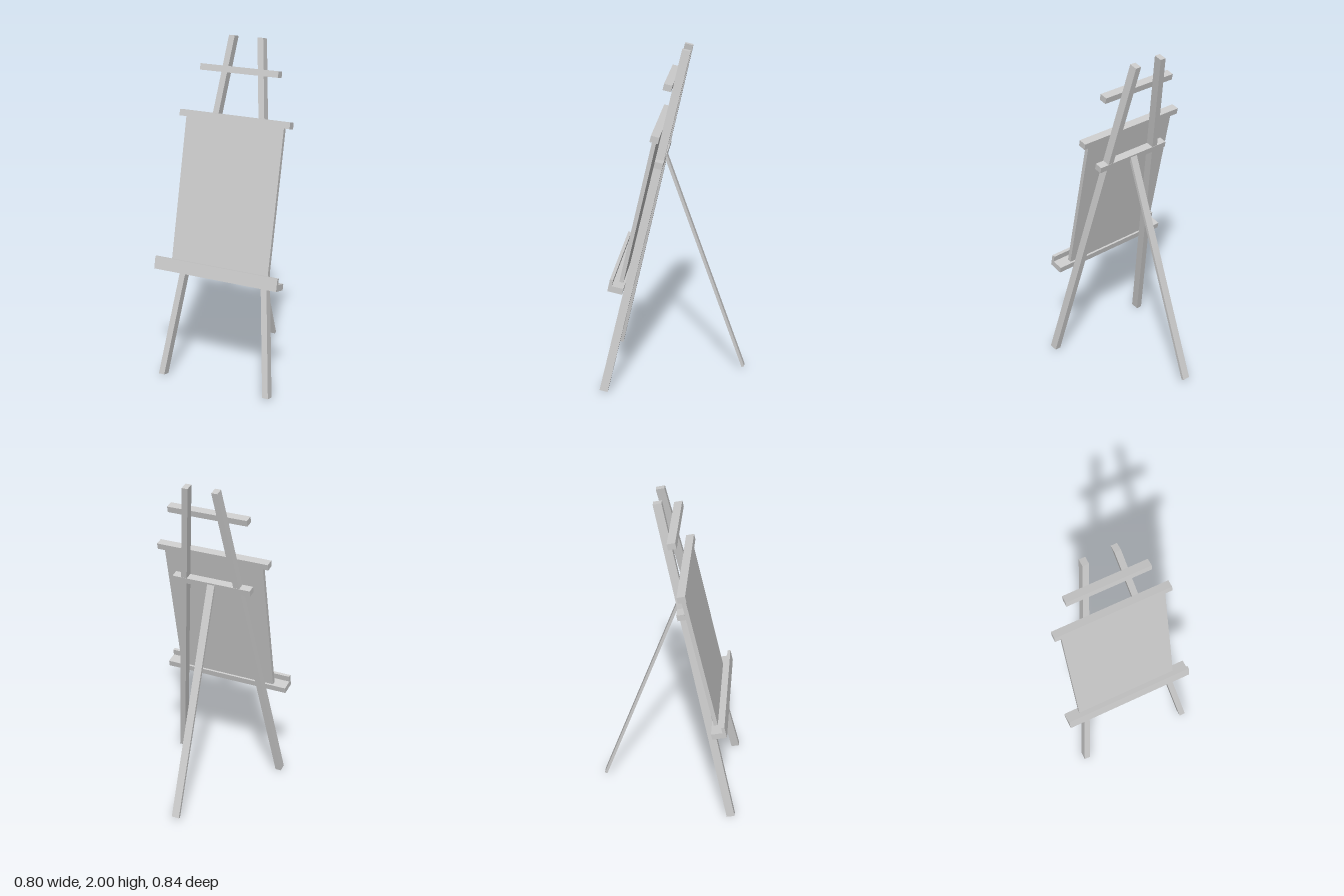
import * as THREE from 'three';

const material = new THREE.MeshStandardMaterial({ color: 0xcccccc, flatShading: true });

function addMesh(parent, name, geometry, x = 0, y = 0, z = 0) {
  const mesh = new THREE.Mesh(geometry, material);
  mesh.name = name;
  mesh.position.set(x, y, z);
  parent.add(mesh);
  return mesh;
}

function addBox(parent, name, w, h, d, x, y, z) {
  return addMesh(parent, name, new THREE.BoxGeometry(w, h, d), x, y, z);
}

// Box whose ends stay level while it leans sideways from bottomX to topX
function leaningBar(width, length, depth, bottomX, topX) {
  const geometry = new THREE.BoxGeometry(width, length, depth);
  geometry.translate(0, length / 2, 0);
  const p = geometry.attributes.position;
  for (let i = 0; i < p.count; i++) {
    p.setX(i, p.getX(i) + THREE.MathUtils.lerp(bottomX, topX, p.getY(i) / length));
  }
  geometry.computeVertexNormals();
  return geometry;
}

export function createModel() {
  const model = new THREE.Group();
  model.name = 'easel';

  // Tilted frame: local y runs up the front legs, local z faces out of the board
  const frame = new THREE.Group();
  frame.name = 'tiltedFrame';
  frame.position.set(0, 0.0055, 0.396);
  frame.rotation.x = -0.2283;
  model.add(frame);

  // Front legs converge towards the top
  const legLength = 2.042;
  addMesh(frame, 'frontLegRight', leaningBar(0.037, legLength, 0.049, -0.328, -0.091));
  addMesh(frame, 'frontLegLeft', leaningBar(0.037, legLength, 0.049, 0.365, 0.091));

  // Cross bars
  addBox(frame, 'topCrossBar', 0.5, 0.037, 0.048, 0, 1.846, 0.048);
  addBox(frame, 'rearCrossBar', 0.5, 0.037, 0.048, 0, 1.396, -0.002);

  // Board with its clamp bar
  addBox(frame, 'board', 0.63, 0.89, 0.024, 0, 1.117, 0.048);
  addBox(frame, 'boardClamp', 0.71, 0.037, 0.048, 0, 1.57, 0.048);

  // L-shaped ledge: section drawn in (depth, height), extruded across the width
  const section = [[0.024, 0.64], [0.111, 0.64], [0.111, 0.715], [0.092, 0.715], [0.092, 0.677], [0.024, 0.677]];
  const shape = new THREE.Shape(section.map(([z, y]) => new THREE.Vector2(z, y)));
  const ledge = new THREE.ExtrudeGeometry(shape, { depth: 0.8, bevelEnabled: false });
  ledge.translate(0, 0, -0.4);
  ledge.rotateY(-Math.PI / 2);
  addMesh(frame, 'ledge', ledge);

  // Rear prop leg hangs from the rear cross bar
  const top = new THREE.Vector3(0, 1.37, 0.063);
  const foot = new THREE.Vector3(0, 0.024, -0.412);
  const prop = addBox(model, 'rearLeg', 0.047, top.distanceTo(foot), 0.017, 0, 0, 0);
  prop.position.copy(top).add(foot).multiplyScalar(0.5);
  prop.rotation.x = Math.atan2(top.z - foot.z, top.y - foot.y);

  return model;
}
